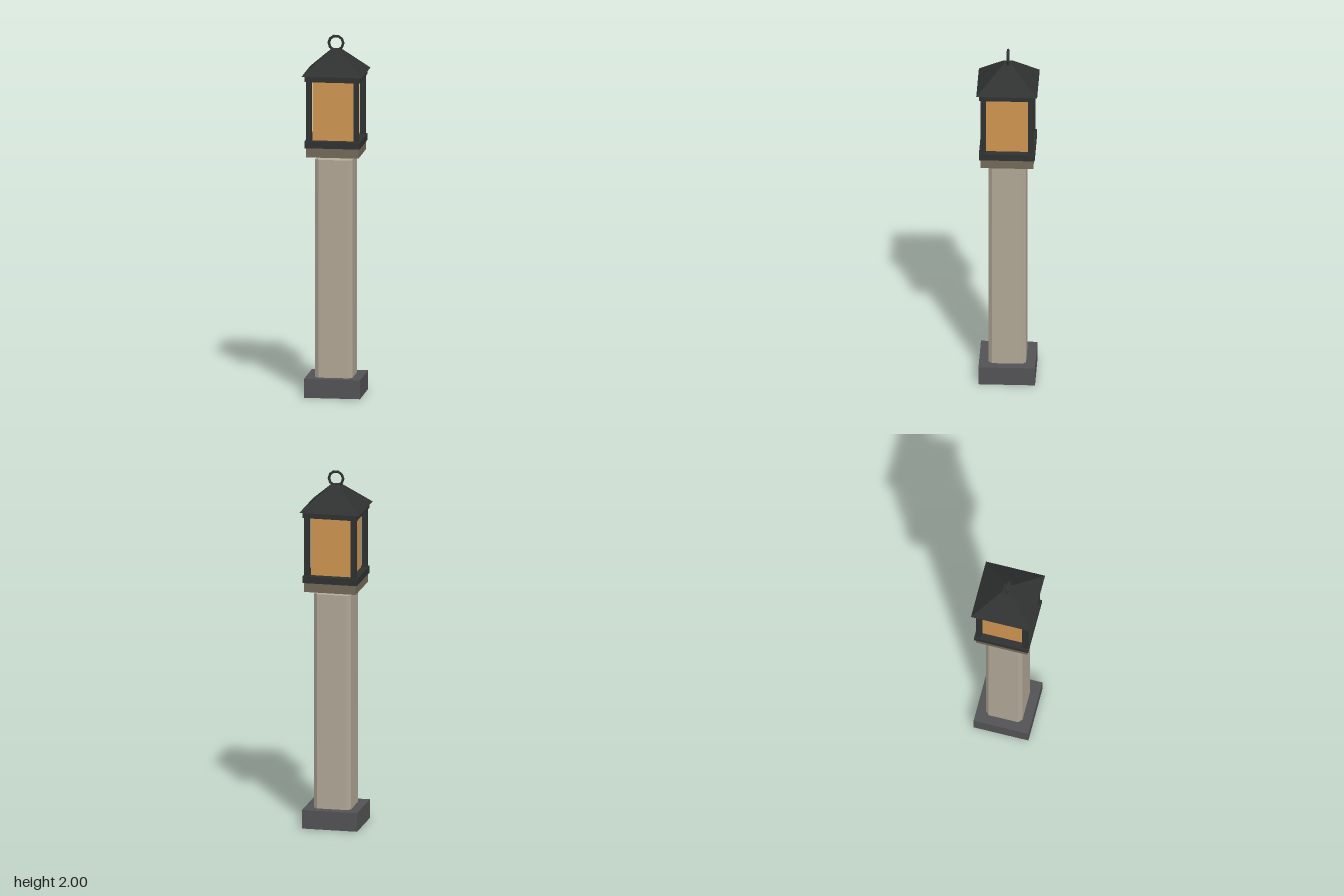
import * as THREE from 'three';
import { ConvexGeometry } from 'three/addons/geometries/ConvexGeometry.js';

const mat = (name, color) => {
  const m = new THREE.MeshStandardMaterial({ color, flatShading: true });
  m.name = name;
  return m;
};

// Box with every edge chamfered by b, as the hull of its 24 corners
function chamferedBox(hx, hy, hz, b) {
  const points = [];
  for (const x of [-1, 1]) for (const y of [-1, 1]) for (const z of [-1, 1]) {
    points.push(
      new THREE.Vector3(x * hx, y * (hy - b), z * (hz - b)),
      new THREE.Vector3(x * (hx - b), y * hy, z * (hz - b)),
      new THREE.Vector3(x * (hx - b), y * (hy - b), z * hz),
    );
  }
  return new ConvexGeometry(points);
}

export function createModel() {
  const stone = mat('pale stone', 0xb0a695);
  const capStone = mat('dark stone', 0x73685a);
  const concrete = mat('grey concrete', 0x535355);
  const iron = mat('black iron', 0x303232);
  const glass = mat('amber glass', 0xcd9550);

  const model = new THREE.Group();
  const add = (name, geometry, material, y, x = 0, z = 0) => {
    const mesh = new THREE.Mesh(geometry, material);
    mesh.name = name;
    mesh.position.set(x, y, z);
    model.add(mesh);
    return mesh;
  };
  // Square slab of half width h between two heights
  const slab = (name, h, y0, y1, material, x = 0, z = 0) =>
    add(name, new THREE.BoxGeometry(2 * h, y1 - y0, 2 * h), material, (y0 + y1) / 2, x, z);

  // Footing and pillar; the pillar's foot shows through the underside
  slab('footing', 0.155, 0.002, 0.107, concrete);
  add('pillar', chamferedBox(0.103, 0.67, 0.103, 0.02), stone, 0.67);
  slab('pillarCap', 0.145, 1.34, 1.392, capStone);

  // Lantern cage
  slab('lowerRim', 0.153, 1.392, 1.43, iron);
  slab('lanternGlass', 0.1145, 1.43, 1.76, glass);
  for (const x of [-1, 1]) for (const z of [-1, 1]) {
    slab('cornerBar', 0.014, 1.43, 1.76, iron, x * 0.131, z * 0.131);
  }
  slab('upperRim', 0.153, 1.76, 1.792, iron);

  // Truncated pyramid roof
  const roof = new THREE.CylinderGeometry(0.024 * Math.SQRT2, 0.167 * Math.SQRT2, 0.13, 4);
  roof.rotateY(Math.PI / 4);
  add('roof', roof, iron, 1.857);

  // Hanging ring
  add('ring', new THREE.TorusGeometry(0.04, 0.0075, 6, 10), iron, 1.955);

  return model;
}
